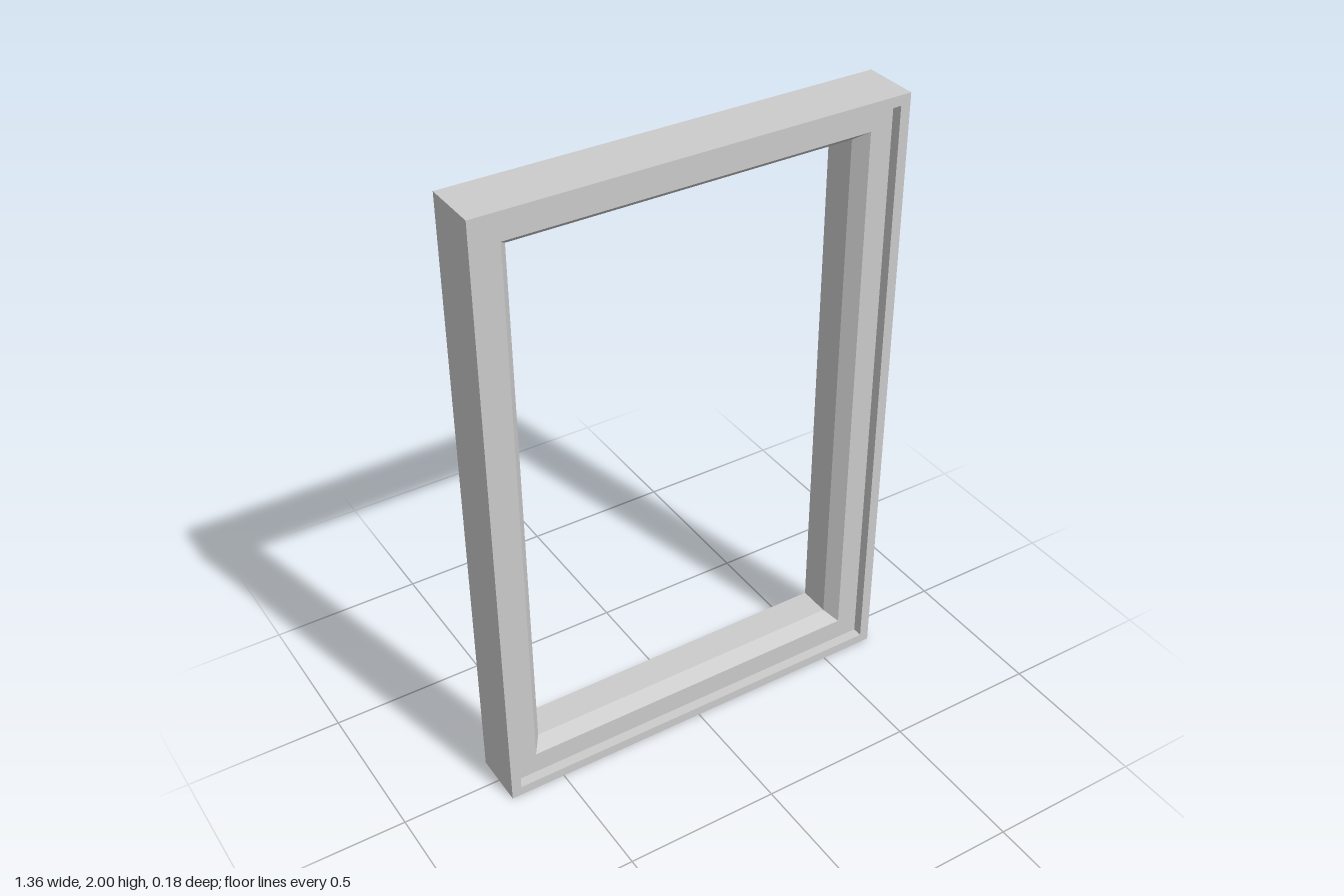
import * as THREE from 'three';

const HALF_W = 0.68, HALF_H = 1, HALF_D = 0.09;

// Cross-section of the moulding: [inset from the outer edge, z], outer back edge first
const PROFILE = [
  [0, -HALF_D],
  [0, HALF_D],          // outer wall
  [0.032, HALF_D],      // raised front lip
  [0.032, 0.057],       // step down to the recess
  [0.105, 0.057],       // recessed flat face
  [0.137, 0.015],       // bevel towards the opening
  [0.137, -HALF_D],     // straight inner wall
];

// Sweep the profile round a rectangle with mitred corners
function mitredFrame(profile) {
  const corners = [[-1, -1], [1, -1], [1, 1], [-1, 1]];
  const point = (c, p) => {
    const [sx, sy] = corners[c % 4];
    const [inset, z] = profile[p % profile.length];
    return [sx * (HALF_W - inset), HALF_H + sy * (HALF_H - inset), z];
  };
  const positions = [];
  for (let c = 0; c < 4; c++) {
    for (let p = 0; p < profile.length; p++) {
      const a = point(c, p), b = point(c + 1, p);
      const d = point(c, p + 1), e = point(c + 1, p + 1);
      positions.push(...a, ...b, ...e, ...a, ...e, ...d);
    }
  }
  const geometry = new THREE.BufferGeometry();
  geometry.setAttribute('position', new THREE.Float32BufferAttribute(positions, 3));
  geometry.computeVertexNormals();
  return geometry;
}

export function createModel() {
  const group = new THREE.Group();
  group.name = 'windowFrame';
  const material = new THREE.MeshStandardMaterial({ color: 0xcccccc, flatShading: true });
  const frame = new THREE.Mesh(mitredFrame(PROFILE), material);
  frame.name = 'frame';
  group.add(frame);
  return group;
}
